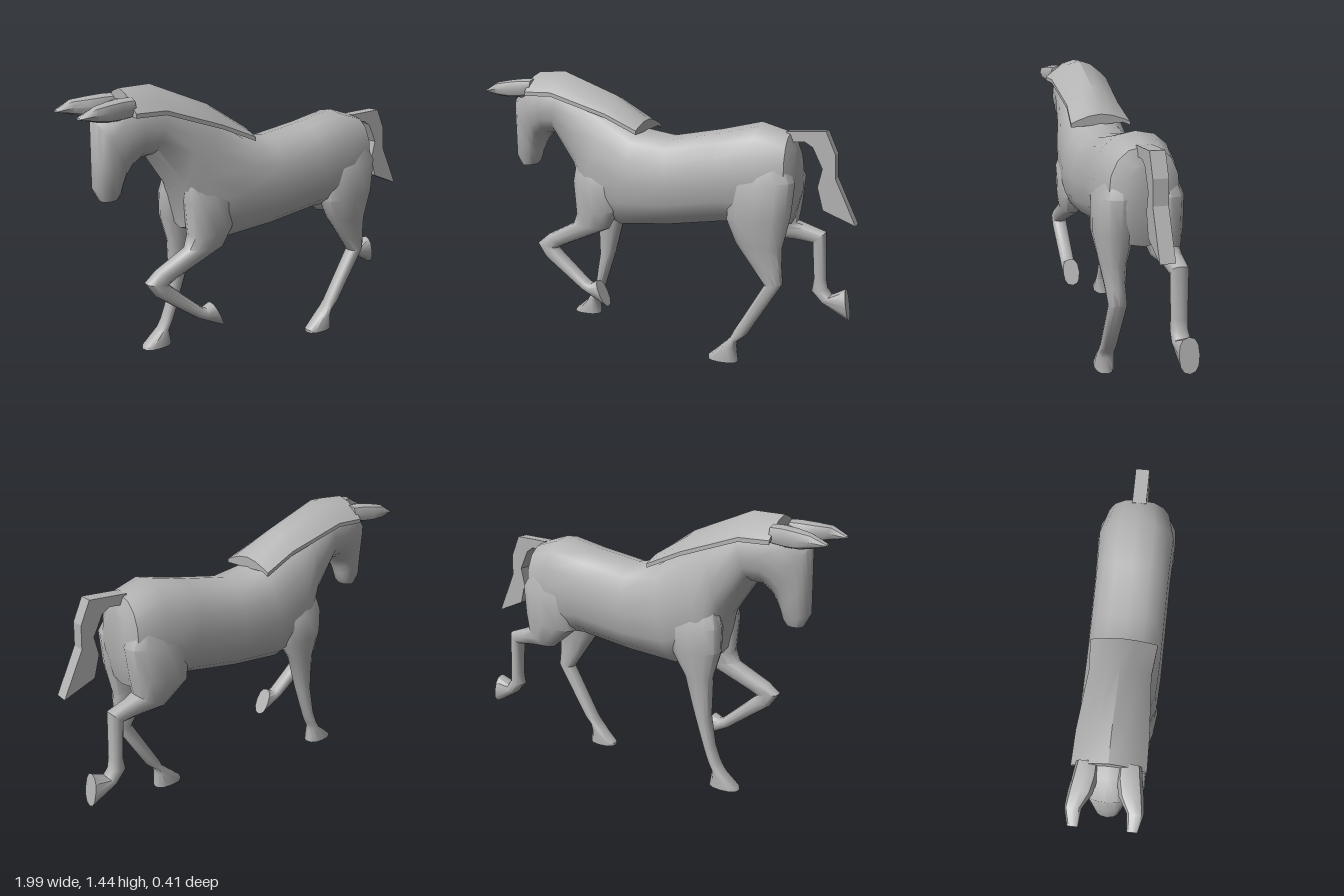
import * as THREE from 'three';
import { toCreasedNormals } from 'three/addons/utils/BufferGeometryUtils.js';

const coat = new THREE.MeshStandardMaterial({ color: 0xb2b2b2 });
coat.name = 'grey coat';

// Skins a list of equal-length rings, caps both ends and faces outward
function skin(rings, crease) {
  const n = rings[0].length, pos = [], idx = [];
  rings.forEach(r => r.forEach(p => pos.push(p.x, p.y, p.z)));
  for (let i = 0; i < rings.length - 1; i++) {
    for (let j = 0; j < n; j++) {
      const k = (j + 1) % n, a = i * n, b = a + n;
      idx.push(a + j, a + k, b + k, a + j, b + k, b + j);
    }
  }
  const last = (rings.length - 1) * n;
  for (let j = 1; j < n - 1; j++) {
    idx.push(0, j + 1, j, last, last + j, last + j + 1);
  }
  // A negative volume means the faces point inward
  const v = i => new THREE.Vector3().fromArray(pos, i * 3);
  let volume = 0;
  for (let i = 0; i < idx.length; i += 3) {
    volume += v(idx[i]).dot(v(idx[i + 1]).cross(v(idx[i + 2])));
  }
  if (volume < 0) idx.reverse();
  const geo = new THREE.BufferGeometry();
  geo.setAttribute('position', new THREE.Float32BufferAttribute(pos, 3));
  geo.setIndex(idx);
  return toCreasedNormals(geo, crease);
}

// Each section: [ax, ay, bx, by, halfWidth, centreZ], an oval spanning a to b
function loft(sections, { sides = 12, power = 2.4, crease = 0.75 } = {}) {
  const bend = t => Math.sign(t) * Math.pow(Math.abs(t), 2 / power);
  return skin(sections.map(([ax, ay, bx, by, w, z = 0]) =>
    Array.from({ length: sides }, (_, j) => {
      const t = (j / sides) * Math.PI * 2;
      const c = bend(Math.cos(t)), s = bend(Math.sin(t));
      return new THREE.Vector3(
        (ax + bx) / 2 + (c * (ax - bx)) / 2,
        (ay + by) / 2 + (c * (ay - by)) / 2,
        z + s * w);
    })), crease);
}

export function createModel() {
  const horse = new THREE.Group();
  horse.name = 'horse';
  const add = (name, geo) => {
    const mesh = new THREE.Mesh(geo, coat);
    mesh.name = name;
    horse.add(mesh);
  };

  // Trunk, neck and head run from rump to muzzle
  add('bodyNeckAndHead', loft([
    [0.69, 1.10, 0.71, 0.86, 0.10],
    [0.66, 1.175, 0.67, 0.72, 0.165],
    [0.51, 1.22, 0.53, 0.70, 0.20],
    [0.31, 1.175, 0.35, 0.71, 0.193],
    [0.05, 1.13, 0.05, 0.665, 0.192],
    [-0.12, 1.16, -0.23, 0.64, 0.19],
    [-0.28, 1.26, -0.45, 0.72, 0.182],
    [-0.41, 1.32, -0.49, 0.92, 0.16],
    [-0.55, 1.385, -0.62, 1.115, 0.142],
    [-0.69, 1.40, -0.68, 1.105, 0.135],
    [-0.80, 1.37, -0.72, 1.07, 0.125],
    [-0.88, 1.29, -0.74, 1.03, 0.10],
    [-0.888, 1.13, -0.755, 0.99, 0.08],
    [-0.895, 0.98, -0.765, 0.95, 0.062],
    [-0.865, 0.92, -0.785, 0.925, 0.045],
  ], { sides: 16 }));

  // Mane: a ridged shell draped over the neck [x, top, edge, half width]
  const maneSections = [
    [-0.745, 1.432, 1.335, 0.163],
    [-0.59, 1.44, 1.335, 0.16],
    [-0.28, 1.32, 1.235, 0.143],
    [-0.10, 1.205, 1.16, 0.16],
  ];
  add('mane', skin(maneSections.map(([x, top, edge, w]) => {
    const arc = [[-1, 0], [-0.8, 0.32], [-0.4, 0.8], [0, 1], [0.4, 0.8], [0.8, 0.32], [1, 0]];
    const layer = drop => arc.map(([s, h]) =>
      new THREE.Vector3(x, edge + h * (top - edge) - drop, s * w));
    return [...layer(0), ...layer(0.02).reverse()];
  }), 0.55));

  // Ears point forward and curve outward
  for (const [name, s] of [['leftEar', 1], ['rightEar', -1]]) {
    add(name, loft([
      [-0.73, 1.40, -0.73, 1.31, 0.05, 0.09 * s],
      [-0.79, 1.40, -0.80, 1.30, 0.055, 0.095 * s],
      [-0.86, 1.392, -0.86, 1.30, 0.053, 0.108 * s],
      [-0.93, 1.38, -0.92, 1.31, 0.036, 0.130 * s],
      [-1.0, 1.338, -1.0, 1.328, 0.022, 0.124 * s],
    ], { sides: 8 }));
  }

  // Planted hind leg
  add('plantedHindLeg', loft([
    [0.45, 1.08, 0.64, 1.08, 0.05, 0.10],
    [0.375, 0.93, 0.71, 0.95, 0.095, 0.11],
    [0.372, 0.75, 0.695, 0.78, 0.092, 0.113],
    [0.42, 0.64, 0.658, 0.62, 0.062, 0.117],
    [0.50, 0.53, 0.66, 0.52, 0.047, 0.115],
    [0.575, 0.43, 0.665, 0.44, 0.044, 0.11],
    [0.42, 0.165, 0.488, 0.15, 0.040, 0.11],
    [0.405, 0.13, 0.44, 0.11, 0.042, 0.11],
    [0.36, 0.085, 0.435, 0.08, 0.046, 0.11],
    [0.285, 0.015, 0.445, 0.015, 0.047, 0.11],
    [0.285, 0, 0.445, 0, 0.047, 0.11],
  ]));

  // Raised hind leg, hock bent and hoof turned back
  add('raisedHindLeg', loft([
    [0.45, 1.08, 0.64, 1.08, 0.05, -0.10],
    [0.375, 0.93, 0.71, 0.95, 0.095, -0.11],
    [0.39, 0.73, 0.695, 0.80, 0.092, -0.115],
    [0.53, 0.62, 0.68, 0.715, 0.065, -0.12],
    [0.66, 0.615, 0.72, 0.70, 0.047, -0.125],
    [0.755, 0.605, 0.82, 0.665, 0.043, -0.125],
    [0.768, 0.42, 0.83, 0.42, 0.040, -0.125],
    [0.758, 0.355, 0.84, 0.37, 0.041, -0.125],
    [0.815, 0.295, 0.86, 0.34, 0.045, -0.125],
    [0.955, 0.215, 0.93, 0.38, 0.048, -0.125],
  ]));

  // Planted foreleg
  add('plantedForeleg', loft([
    [-0.47, 0.98, -0.24, 0.93, 0.06, -0.10],
    [-0.495, 0.88, -0.22, 0.86, 0.08, -0.11],
    [-0.495, 0.76, -0.24, 0.73, 0.075, -0.112],
    [-0.455, 0.62, -0.31, 0.62, 0.052, -0.115],
    [-0.45, 0.42, -0.365, 0.43, 0.043, -0.115],
    [-0.475, 0.27, -0.43, 0.24, 0.040, -0.115],
    [-0.505, 0.19, -0.45, 0.19, 0.041, -0.115],
    [-0.53, 0.145, -0.475, 0.145, 0.043, -0.115],
    [-0.615, 0.075, -0.46, 0.075, 0.048, -0.115],
    [-0.62, 0.06, -0.46, 0.06, 0.048, -0.115],
  ]));

  // Raised foreleg, folded at the knee
  add('raisedForeleg', loft([
    [-0.47, 0.98, -0.24, 0.93, 0.06, 0.10],
    [-0.48, 0.88, -0.22, 0.86, 0.08, 0.11],
    [-0.465, 0.70, -0.225, 0.73, 0.075, 0.112],
    [-0.49, 0.645, -0.28, 0.63, 0.055, 0.115],
    [-0.65, 0.565, -0.55, 0.515, 0.044, 0.118],
    [-0.71, 0.515, -0.59, 0.495, 0.043, 0.12],
    [-0.66, 0.44, -0.585, 0.485, 0.043, 0.12],
    [-0.44, 0.278, -0.405, 0.325, 0.040, 0.12],
    [-0.40, 0.258, -0.385, 0.318, 0.042, 0.12],
    [-0.285, 0.20, -0.35, 0.338, 0.047, 0.12],
  ]));

  // Tail: a flat-sided plume
  const plume = new THREE.Shape([
    [0.64, 1.18], [0.83, 1.19], [0.88, 1.08], [0.885, 0.965], [0.99, 0.745],
    [0.83, 0.81], [0.80, 0.92], [0.82, 1.01], [0.77, 1.11], [0.73, 1.135], [0.64, 1.13],
  ].map(([x, y]) => new THREE.Vector2(x, y)));
  const tail = new THREE.ExtrudeGeometry(plume, { depth: 0.07, bevelEnabled: false });
  tail.translate(0, 0, -0.035);
  add('tail', tail);

  return horse;
}
